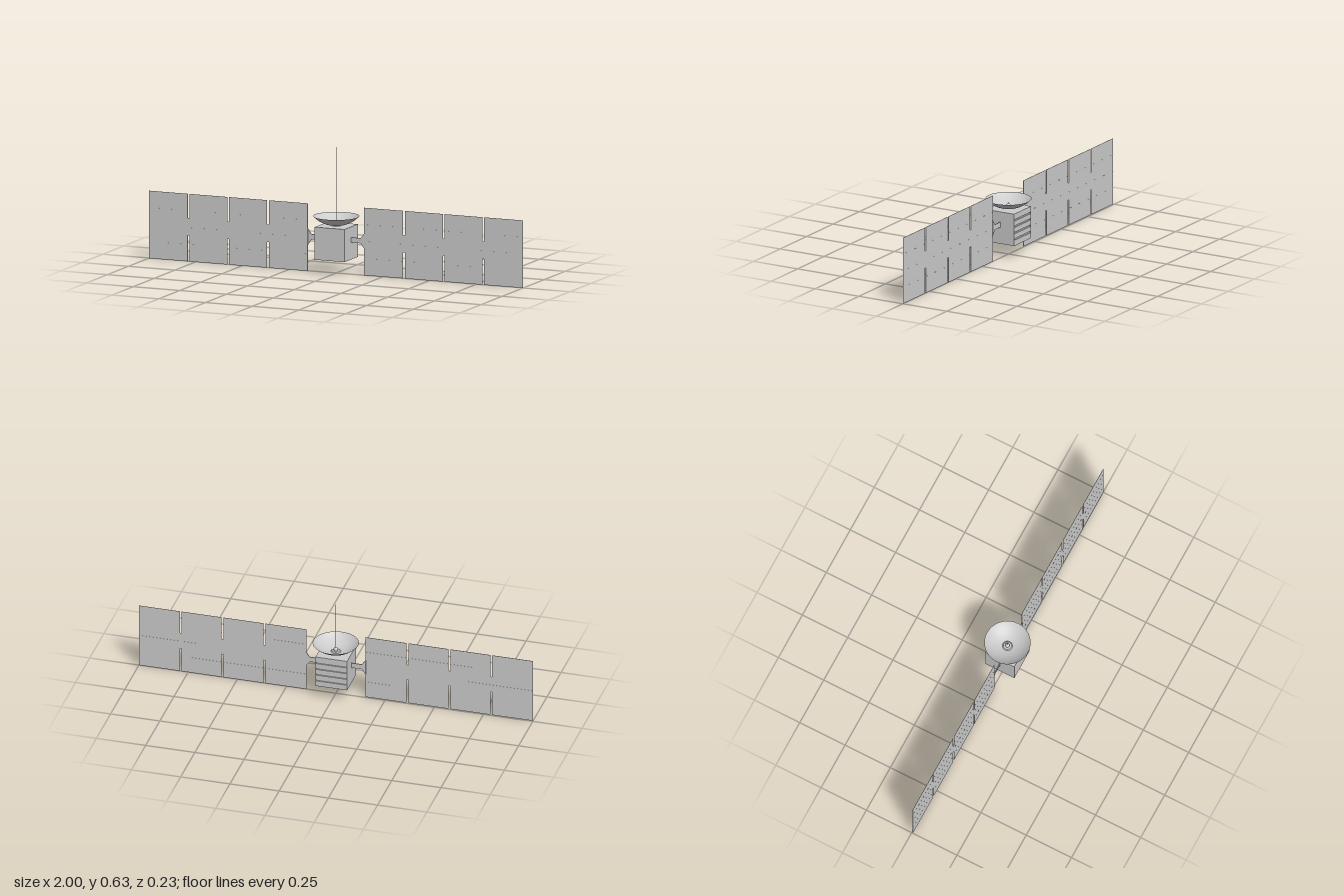
import * as THREE from 'three';

const material = new THREE.MeshStandardMaterial({ color: 0xcccccc, side: THREE.DoubleSide });
const WING_H = 0.335, MID = WING_H / 2;

function add(parent, name, geometry, x = 0, y = 0, z = 0) {
  const mesh = new THREE.Mesh(geometry, material);
  mesh.name = name;
  mesh.position.set(x, y, z);
  parent.add(mesh);
  return mesh;
}
const box = (w, h, d) => new THREE.BoxGeometry(w, h, d);
const lathe = (points, segments) =>
  new THREE.LatheGeometry(points.map(([r, y]) => new THREE.Vector2(r, y)), segments);

// Four thin solar panels, their hinges and the seams between cell rows
function createWing(name) {
  const wing = new THREE.Group();
  wing.name = name;
  const pitch = 0.2125, gap = 0.009, thick = 0.001;
  for (let i = 0; i < 4; i++) {
    const x0 = 0.15 + i * pitch + (i ? gap / 2 : 0);
    const x1 = 0.15 + (i + 1) * pitch - (i < 3 ? gap / 2 : 0);
    const x = (x0 + x1) / 2;
    add(wing, 'solarPanel', box(x1 - x0, WING_H, thick), x, MID, 0);
    for (let row = 1; row < 4; row++) {
      add(wing, 'panelSeam', box(x1 - x0, 0.0015, thick * 1.6), x, WING_H * row / 4, 0);
    }
    if (i) add(wing, 'panelHinge', box(gap, 0.086, thick), 0.15 + i * pitch, 0.171, 0);
  }
  return wing;
}

// Flat arm that flares out towards the wing
function createArm() {
  const s = new THREE.Shape();
  [[0.075, -0.013], [0.132, -0.013], [0.152, -0.041], [0.152, 0.041], [0.132, 0.013], [0.075, 0.013]]
    .forEach(([x, y], i) => (i ? s.lineTo(x, y) : s.moveTo(x, y)));
  return new THREE.ExtrudeGeometry(s, { depth: 0.004, bevelEnabled: false }).translate(0, 0, -0.002);
}

export function createModel() {
  const model = new THREE.Group();
  model.name = 'satellite';

  // Body with a recessed, slotted grille on the back
  const half = 0.08, bottom = 0.073, height = 0.162, recess = 0.006;
  add(model, 'body', box(half * 2, height, half * 2 - recess), 0, bottom + height / 2, recess / 2);
  const grille = new THREE.Shape();
  grille.moveTo(-half, 0).lineTo(half, 0).lineTo(half, height).lineTo(-half, height).closePath();
  for (let i = 1; i <= 4; i++) {
    const y = height * i / 5, w = half - 0.003;
    const slot = new THREE.Path();
    slot.moveTo(-w, y - 0.004).lineTo(-w, y + 0.004).lineTo(w, y + 0.004).lineTo(w, y - 0.004).closePath();
    grille.holes.push(slot);
  }
  add(model, 'backGrille', new THREE.ExtrudeGeometry(grille, { depth: recess, bevelEnabled: false }), 0, bottom, -half);

  // Arms and wings, the right-hand wing set slightly forward
  for (const side of [1, -1]) {
    const label = side > 0 ? 'left' : 'right';
    const arm = add(model, label + 'Arm', createArm(), 0, 0.17, 0);
    const wing = createWing(label + 'Wing');
    if (side < 0) {
      arm.rotation.y = wing.rotation.y = Math.PI;
      wing.position.z = 0.006;
    }
    model.add(wing);
  }

  // Open dish: a shallow cap of a sphere
  const R = 0.157, rim = Math.asin(0.113 / R), dishY = 0.235;
  const profile = [];
  for (let i = 0; i <= 14; i++) {
    const a = rim * i / 14;
    profile.push([R * Math.sin(a), R * (1 - Math.cos(a))]);
  }
  add(model, 'dish', lathe(profile, 48), 0, dishY, 0);

  // Feed at the dish centre and a very fine tapering mast
  add(model, 'feedBase', new THREE.CylinderGeometry(0.02, 0.026, 0.005, 24), 0, dishY + 0.0035, 0);
  add(model, 'feedHorn', new THREE.SphereGeometry(0.011, 20, 12), 0, dishY + 0.012, 0);
  add(model, 'mast', new THREE.ConeGeometry(0.0012, 0.39, 8), 0, 0.24 + 0.195, 0);

  return model;
}
